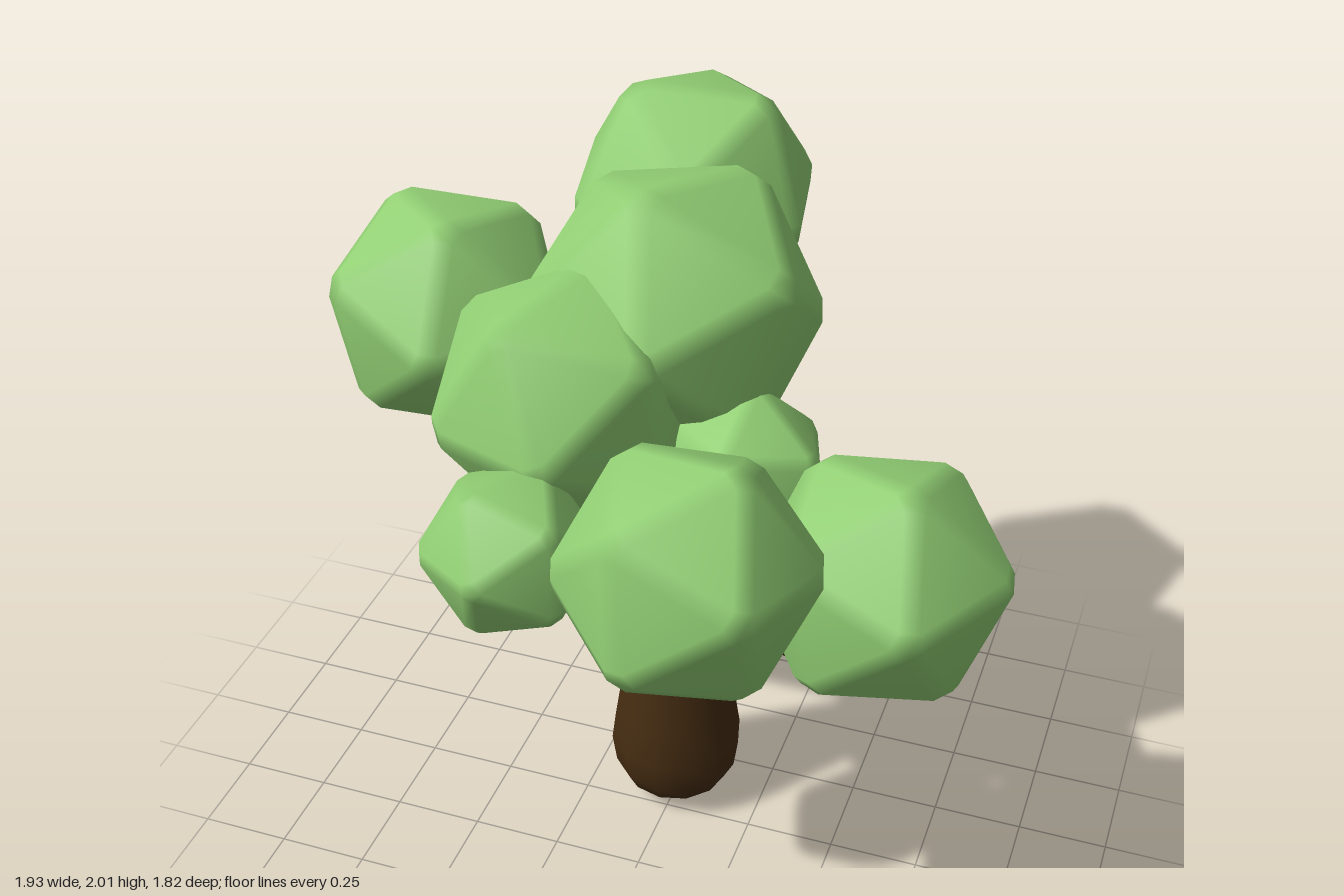
import * as THREE from 'three';
import { mergeVertices } from 'three/addons/utils/BufferGeometryUtils.js';
import { ConvexGeometry } from 'three/addons/geometries/ConvexGeometry.js';

const V = (a) => new THREE.Vector3(...a);

const leafGreen = new THREE.MeshStandardMaterial({ color: 0x92cf74 });
leafGreen.name = 'leafGreen';
const barkBrown = new THREE.MeshStandardMaterial({ color: 0x462d12 });
barkBrown.name = 'barkBrown';

// Icosahedron with bevelled edges and corners, shaded smooth
function softIcosahedron(inner = 0.8, bevel = 0.22) {
  const pos = new THREE.IcosahedronGeometry(1, 0).attributes.position;
  const points = [];
  for (let f = 0; f < pos.count; f += 3) {
    const corners = [0, 1, 2].map((k) => new THREE.Vector3().fromBufferAttribute(pos, f + k));
    const normal = new THREE.Vector3();
    corners.forEach((c) => normal.add(c));
    normal.normalize();
    corners.forEach((c) => points.push(c.multiplyScalar(inner).addScaledVector(normal, bevel)));
  }
  const hull = new ConvexGeometry(points);
  hull.deleteAttribute('normal');
  const geometry = mergeVertices(hull, 1e-4);
  geometry.computeVertexNormals();
  return geometry;
}

// Frame whose first axis bisects two neighbouring corner directions
function cornerFrame(a, b) {
  const p = V(a).normalize();
  const q = V(b).normalize();
  const e1 = p.clone().add(q).normalize();
  const e3 = p.clone().cross(q).normalize();
  const e2 = e3.clone().cross(e1);
  return new THREE.Matrix4().makeBasis(e1, e2, e3);
}

// Tapered limb along a curve; each point is [x, y, z, radius]
function limb(name, points, segments = 14, sides = 10) {
  const curve = new THREE.CatmullRomCurve3(points.map((p) => V(p.slice(0, 3))));
  const geometry = new THREE.TubeGeometry(curve, segments, 1, sides);
  const pos = geometry.attributes.position;
  const v = new THREE.Vector3();
  for (let i = 0; i <= segments; i++) {
    const u = i / segments;
    const centre = curve.getPointAt(u);
    const t = curve.getUtoTmapping(u) * (points.length - 1);
    const k = Math.min(Math.floor(t), points.length - 2);
    const radius = THREE.MathUtils.lerp(points[k][3], points[k + 1][3], t - k);
    for (let j = 0; j <= sides; j++) {
      const n = i * (sides + 1) + j;
      v.fromBufferAttribute(pos, n).sub(centre).multiplyScalar(radius).add(centre);
      pos.setXYZ(n, v.x, v.y, v.z);
    }
  }
  const mesh = new THREE.Mesh(geometry, barkBrown);
  mesh.name = name;
  return mesh;
}

export function createModel() {
  const tree = new THREE.Group();
  tree.name = 'tree';

  // Trunk with a swollen, rounded foot
  const profile = [
    [0, 0], [0.09, 0.02], [0.15, 0.055], [0.178, 0.11], [0.19, 0.2], [0.172, 0.32],
    [0.145, 0.5], [0.118, 0.7], [0.103, 0.84], [0.092, 0.97],
  ].map(([r, y]) => new THREE.Vector2(r, y));
  const trunk = new THREE.Mesh(new THREE.LatheGeometry(profile, 12), barkBrown);
  trunk.name = 'trunk';
  trunk.position.set(-0.012, 0, -0.117);
  tree.add(trunk);

  // Branches
  tree.add(
    limb('backBranch', [
      [-0.012, 0.8, -0.12, 0.105], [-0.012, 0.97, -0.14, 0.1], [-0.01, 1.08, -0.2, 0.082],
      [-0.01, 1.17, -0.29, 0.058], [-0.03, 1.28, -0.43, 0.04], [-0.06, 1.39, -0.58, 0.025],
      [-0.07, 1.43, -0.62, 0],
    ]),
    limb('leftTwig', [
      [-0.01, 1.04, -0.17, 0.06], [-0.13, 1.1, -0.2, 0.046], [-0.28, 1.18, -0.2, 0.034],
      [-0.45, 1.28, -0.16, 0.024], [-0.5, 1.32, -0.14, 0],
    ]),
    limb('frontBranch', [
      [-0.01, 0.8, -0.11, 0.09], [0.06, 0.89, -0.02, 0.085], [0.15, 0.93, 0.09, 0.065],
      [0.23, 0.95, 0.2, 0.052], [0.27, 1.01, 0.31, 0.042], [0.27, 1.09, 0.42, 0.03],
      [0.27, 1.14, 0.48, 0],
    ]),
    limb('rightTwig', [
      [0.17, 0.925, 0.12, 0.052], [0.28, 0.92, 0.2, 0.046], [0.4, 0.92, 0.24, 0.04],
      [0.5, 0.93, 0.28, 0.032], [0.6, 0.97, 0.31, 0],
    ]),
  );

  // Leaf clumps: name, centre, radius and the directions of two neighbouring corners
  const clumps = [
    ['backClump', [-0.13, 1.7, -0.6], 0.34, [-0.05, -0.13, -0.3], [0.25, 0, -0.24]],
    ['crownClump', [-0.01, 1.63, -0.1], 0.385, [0.03, 0.03, 0.33], [-0.04, 0.35, 0.15]],
    ['leftClump', [-0.65, 1.5, -0.115], 0.33, [0.29, 0.05, 0.065], [0.07, 0.315, 0.14]],
    ['middleClump', [-0.2, 1.5, 0.2], 0.335, [-0.26, -0.05, 0.21], [-0.29, 0.18, -0.1]],
    ['smallFrontClump', [-0.2, 1.29, 0.57], 0.218, [-0.01, 0.02, 0.21], [-0.19, 0, 0.09]],
    ['frontClump', [0.26, 1.36, 0.605], 0.32, [0.125, 0.285, 0], [0.3, 0.02, -0.075]],
    ['rightClump', [0.65, 1.225, 0.305], 0.322, [0.05, 0.295, 0.08], [0.29, 0.04, 0]],
    ['smallInnerClump', [0.23, 1.31, 0.1], 0.228, [0.02, 0.22, -0.04], [0.2, 0.09, 0.05]],
  ];
  const t = (1 + Math.sqrt(5)) / 2;
  const toLocal = cornerFrame([-1, t, 0], [1, t, 0]).transpose();
  const geometry = softIcosahedron();
  for (const [name, centre, radius, a, b] of clumps) {
    const clump = new THREE.Mesh(geometry, leafGreen);
    clump.name = name;
    clump.position.set(...centre);
    clump.quaternion.setFromRotationMatrix(cornerFrame(a, b).multiply(toLocal));
    clump.scale.setScalar(radius);
    tree.add(clump);
  }
  return tree;
}
